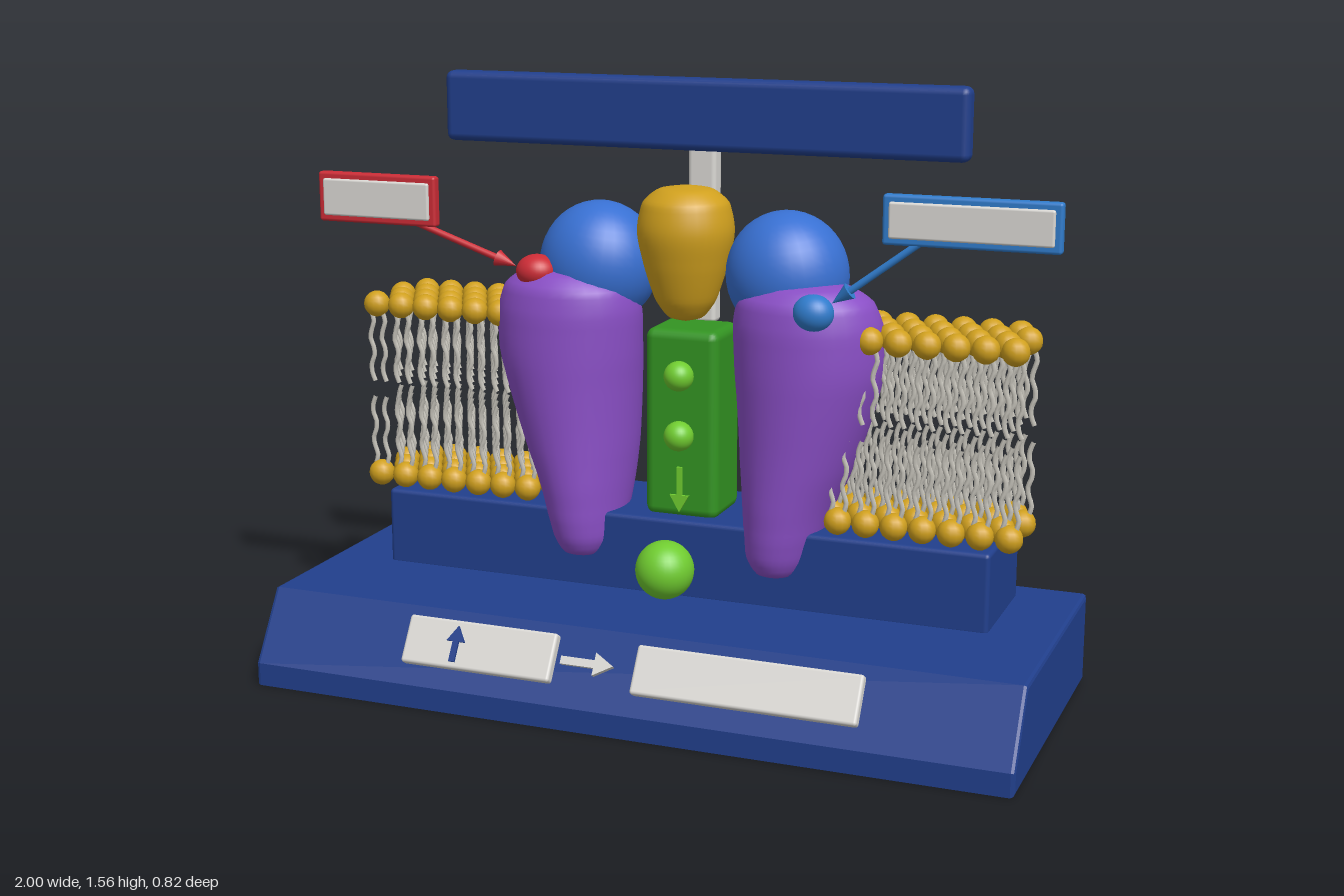
import * as THREE from 'three';
import { RoundedBoxGeometry } from 'three/addons/geometries/RoundedBoxGeometry.js';
import { mergeGeometries } from 'three/addons/utils/BufferGeometryUtils.js';

const mat = (name, color) => Object.assign(new THREE.MeshStandardMaterial({ color }), { name });

// Closed smooth body from bottom-up ellipses: [y, xMin, xMax, zBack, zFront]
function loft(sections, side = 1, rings = 44, n = 32) {
  const centres = new THREE.CatmullRomCurve3(sections.map(([y, a, b, c, d]) =>
    new THREE.Vector3(side * (a + b) / 2, y, (c + d) / 2)));
  const radii = new THREE.CatmullRomCurve3(sections.map(([, a, b, c, d]) =>
    new THREE.Vector3((b - a) / 2, 0, (d - c) / 2)));
  const pos = [], idx = [];
  for (let i = 0; i <= rings; i++) {
    const c = centres.getPoint(i / rings), r = radii.getPoint(i / rings);
    for (let j = 0; j < n; j++) {
      const t = j / n * Math.PI * 2;
      pos.push(c.x + Math.max(r.x, 0.0005) * Math.cos(t), c.y, c.z + Math.max(r.z, 0.0005) * Math.sin(t));
      if (i < rings) {
        const a = i * n + j, b = i * n + (j + 1) % n;
        idx.push(a, a + n, b, b, a + n, b + n);
      }
    }
  }
  const g = new THREE.BufferGeometry();
  g.setAttribute('position', new THREE.Float32BufferAttribute(pos, 3));
  g.setIndex(idx);
  g.computeVertexNormals();
  return g;
}

// Flat arrow pointing up, centred on the origin
function arrowGeo(length, headW, headL, shaftW, depth) {
  const h = length / 2, s = shaftW / 2, w = headW / 2;
  const shape = new THREE.Shape([[-s, -h], [s, -h], [s, h - headL], [w, h - headL], [0, h],
    [-w, h - headL], [-s, h - headL]].map(p => new THREE.Vector2(...p)));
  return new THREE.ExtrudeGeometry(shape, { depth, bevelEnabled: false });
}

export function createModel() {
  const model = new THREE.Group();
  model.name = 'membraneChannelDisplay';
  const navy = mat('navy', 0x213f8c), white = mat('offWhite', 0xdad8d4), purple = mat('purple', 0x8a4fc6),
    blue = mat('blue', 0x3870d2), gold = mat('gold', 0xd0a01e), green = mat('green', 0x339422),
    lime = mat('lime', 0x70cc30), red = mat('red', 0xcc2c36), sky = mat('skyBlue', 0x307ccc),
    grey = mat('tailGrey', 0xcac7be);

  const add = (name, geo, material, p = [0, 0, 0], parent = model) => {
    const m = new THREE.Mesh(geo, material);
    m.name = name;
    m.position.set(...p);
    parent.add(m);
    return m;
  };
  // Rounded box given by its bounds
  const box = (name, material, [x0, x1], [y0, y1], [z0, z1], r = 0.012, parent = model) =>
    add(name, new RoundedBoxGeometry(x1 - x0, y1 - y0, z1 - z0, 2, r), material,
      [(x0 + x1) / 2, (y0 + y1) / 2, (z0 + z1) / 2], parent);
  const ball = (name, material, p, rx, ry = rx, rz = rx) =>
    add(name, new THREE.SphereGeometry(1, 32, 22).scale(rx, ry, rz), material, p);

  // Base with sloped front
  const outline = new THREE.Shape([[-0.412, 0], [0.412, 0], [0.412, 0.06], [0.303, 0.235], [-0.412, 0.235]]
    .map(p => new THREE.Vector2(...p)));
  const bevel = 0.01;
  const base = new THREE.ExtrudeGeometry(outline, { depth: 2 - 2 * bevel, bevelThickness: bevel,
    bevelSize: bevel, bevelOffset: -bevel, bevelSegments: 2 });
  base.translate(0, 0, -(1 - bevel)).rotateY(-Math.PI / 2);
  add('base', base, navy);
  box('step', navy, [-0.83, 0.83], [0.225, 0.437], [-0.345, -0.015]);

  // Plates and arrows lying on the slope
  const slope = new THREE.Group();
  slope.name = 'slopePlates';
  slope.position.set(0, 0.158, 0.351);
  slope.rotation.x = -Math.atan2(0.109, 0.175);
  model.add(slope);
  box('leftPlate', white, [-0.58, -0.17], [-0.062, 0.062], [-0.005, 0.026], 0.008, slope);
  box('rightPlate', white, [0.045, 0.62], [-0.062, 0.062], [-0.005, 0.026], 0.008, slope);
  add('plateArrow', arrowGeo(0.092, 0.05, 0.04, 0.016, 0.007), navy, [-0.437, 0, 0.025], slope);
  add('linkArrow', arrowGeo(0.14, 0.058, 0.05, 0.02, 0.015), white, [-0.083, 0, 0], slope).rotation.z = -Math.PI / 2;

  // Sign board and post
  box('signBoard', navy, [-0.71, 0.71], [1.372, 1.557], [-0.222, -0.162], 0.02);
  box('post', white, [-0.038, 0.038], [0.92, 1.42], [-0.262, -0.21], 0.012);

  // Paired protein bodies and heads
  const lobe = [
    [0.302, 0.262, 0.272, -0.06, -0.05], [0.32, 0.215, 0.322, -0.11, 0.008], [0.36, 0.186, 0.352, -0.17, 0.032],
    [0.42, 0.172, 0.378, -0.24, 0.042], [0.5, 0.163, 0.405, -0.28, 0.047], [0.6, 0.153, 0.447, -0.302, 0.05],
    [0.75, 0.143, 0.497, -0.303, 0.055], [0.85, 0.136, 0.52, -0.287, 0.057], [0.95, 0.133, 0.52, -0.27, 0.055],
    [1.02, 0.15, 0.498, -0.235, 0.043], [1.06, 0.21, 0.44, -0.18, 0.005], [1.077, 0.32, 0.33, -0.085, -0.075]];
  for (const s of [1, -1]) {
    const side = s > 0 ? 'left' : 'right';
    add(side + 'Lobe', loft(lobe, s), purple);
    const head = ball(side + 'Head', blue, [s * 0.258, 1.075, -0.145], 0.158, 0.163, 0.148);
    head.rotation.z = s * 0.15;
  }

  // Middle cap, channel and particles
  add('cap', loft([[0.945, 0], [0.957, 0.045], [1.0, 0.078], [1.09, 0.108], [1.18, 0.125], [1.25, 0.112],
    [1.285, 0.07], [1.296, 0.002]].map(([y, r]) => [y, -r, r, -0.1 - r * 0.97, -0.1 + r * 0.97])), gold);
  box('channel', green, [-0.1, 0.1], [0.43, 0.927], [-0.24, -0.06], 0.025);
  for (const y of [0.81, 0.652]) ball('channelParticle', lime, [0, y, -0.05], 0.039);
  ball('freeParticle', lime, [0, 0.322, 0.048], 0.076);
  add('channelArrow', arrowGeo(0.12, 0.052, 0.045, 0.014, 0.009), lime, [0, 0.508, -0.052]).rotation.x = Math.PI;

  // Labels, each with a pointer to a bound molecule
  function label(name, material, x, y, from, to) {
    box(name + 'Label', material, x, y, [-0.018, 0.012], 0.008);
    box(name + 'LabelPanel', white, [x[0] + 0.017, x[1] - 0.017], [y[0] + 0.017, y[1] - 0.017], [0.004, 0.02], 0.006);
    const a = new THREE.Vector3(...from), b = new THREE.Vector3(...to);
    const dir = b.clone().sub(a), len = dir.length(), headL = 0.055;
    const pointer = new THREE.Group();
    pointer.name = name + 'Pointer';
    pointer.position.copy(a);
    pointer.quaternion.setFromUnitVectors(new THREE.Vector3(0, 1, 0), dir.normalize());
    model.add(pointer);
    add(name + 'Rod', new THREE.CylinderGeometry(0.009, 0.009, len - headL, 12), material, [0, (len - headL) / 2, 0], pointer);
    add(name + 'Tip', new THREE.ConeGeometry(0.022, headL, 16), material, [0, len - headL / 2, 0], pointer);
  }
  label('red', red, [-1, -0.655], [1.165, 1.297], [-0.72, 1.175, 0], [-0.435, 1.075, -0.01]);
  ball('redMolecule', red, [-0.385, 1.062, -0.03], 0.055, 0.044, 0.052);
  label('blue', sky, [0.545, 0.98], [1.19, 1.313], [0.64, 1.2, 0], [0.425, 1.04, 0.015]);
  ball('blueMolecule', sky, [0.38, 1.013, 0.022], 0.052, 0.047, 0.045);

  // Lipid bilayer: staggered rows of heads with paired wavy tails
  const heads = [], tails = [];
  const headGeo = new THREE.SphereGeometry(0.035, 14, 10);
  const tailGeo = dir => {
    const pts = [];
    for (let k = 0; k <= 8; k++) pts.push(new THREE.Vector3(0.006 * Math.sin(k * 1.7), -dir * (0.025 + k * 0.0235), 0));
    return new THREE.TubeGeometry(new THREE.CatmullRomCurve3(pts), 16, 0.0065, 5);
  };
  for (const [y, dir] of [[0.94, 1], [0.472, -1]]) {
    const tail = tailGeo(dir);
    for (const s of [1, -1]) for (let row = 0; row < 4; row++) for (let i = 0; i < 7; i++) {
      const x = s * (0.868 - i * 0.073 - (row % 2) * 0.036), z = -0.048 - row * 0.0735;
      heads.push(headGeo.clone().translate(x, y, z));
      for (const d of [-0.017, 0.017]) tails.push(tail.clone().translate(x + d, y, z));
    }
  }
  add('lipidHeads', mergeGeometries(heads), gold);
  add('lipidTails', mergeGeometries(tails), grey);
  return model;
}
